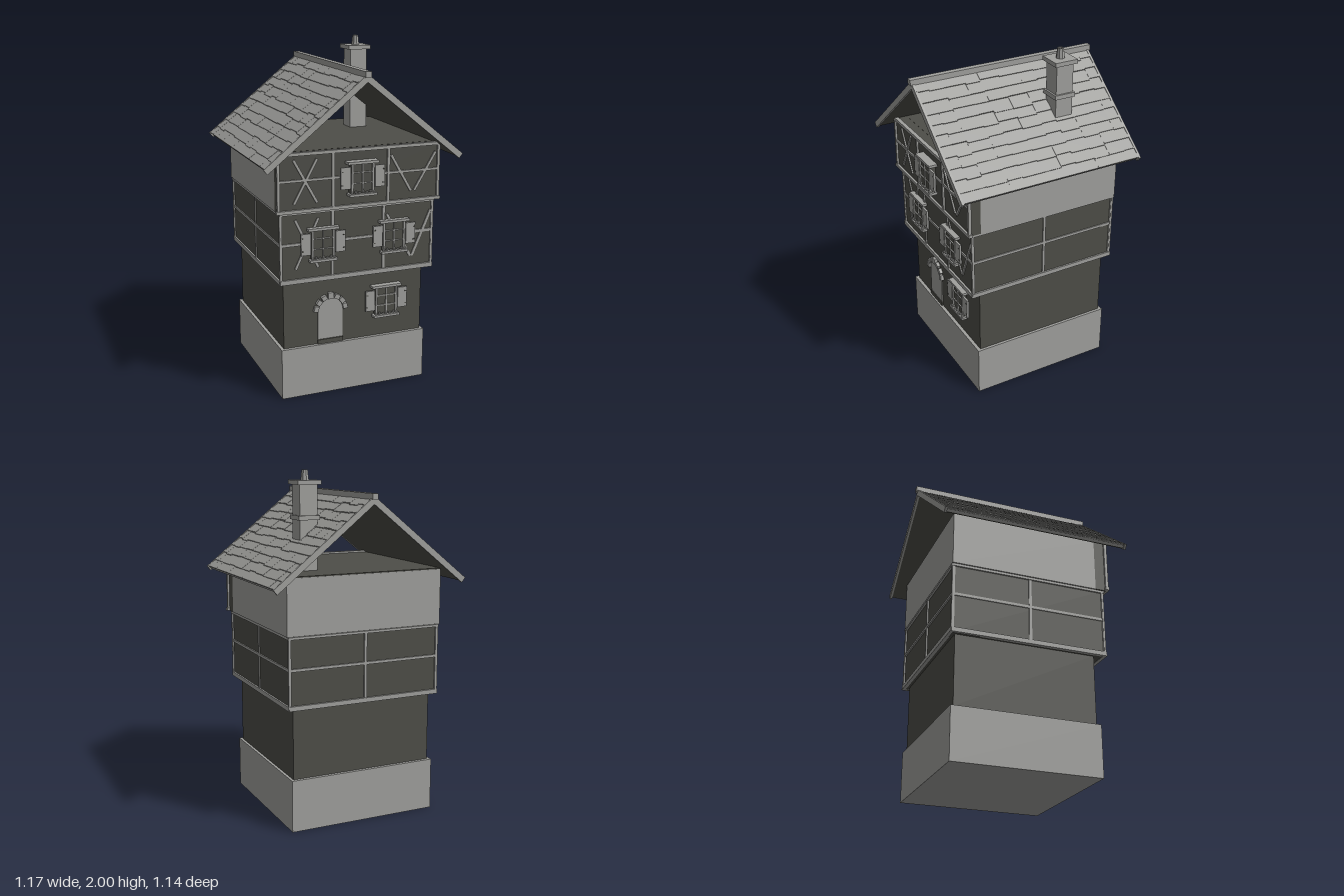
import * as THREE from 'three';
import { mergeGeometries } from 'three/addons/utils/BufferGeometryUtils.js';

const pale = new THREE.MeshStandardMaterial({ color: 0xa0a09d });
pale.name = 'pale stone and timber';
const dark = new THREE.MeshStandardMaterial({ color: 0x4e4e48 });
dark.name = 'dark plaster';

function add(parent, name, geometry, material) {
  const mesh = new THREE.Mesh(geometry, material);
  mesh.name = name;
  parent.add(mesh);
  return mesh;
}

// Box given by its lower and upper limits on each axis
function block(parent, name, material, x0, x1, y0, y1, z0, z1) {
  const mesh = add(parent, name, new THREE.BoxGeometry(x1 - x0, y1 - y0, z1 - z0), material);
  mesh.position.set((x0 + x1) / 2, (y0 + y1) / 2, (z0 + z1) / 2);
  return mesh;
}

// Timber between two points of an upright plane facing +z
function beam(parent, x0, y0, x1, y1, z, width, depth = 0.012) {
  const length = Math.hypot(x1 - x0, y1 - y0);
  const mesh = add(parent, 'timber', new THREE.BoxGeometry(length, width, depth), pale);
  mesh.position.set((x0 + x1) / 2, (y0 + y1) / 2, z);
  mesh.rotation.z = Math.atan2(y1 - y0, x1 - x0);
  return mesh;
}

// Window with shutters, lintel, sill and a row of small plants
function windowUnit(parent, x, y, z, back) {
  const g = new THREE.Group();
  g.name = 'window';
  g.position.set(x, y, z);
  parent.add(g);
  block(g, 'windowPane', dark, -0.068, 0.068, -0.085, 0.085, -back, 0.004);
  for (const s of [-1, 1]) {
    beam(g, s * 0.062, -0.085, s * 0.062, 0.085, 0.006, 0.012);
    const shutter = new THREE.Group();
    shutter.name = 'shutter';
    shutter.position.x = s * 0.102;
    g.add(shutter);
    block(shutter, 'shutterBoard', pale, -0.029, 0.029, -0.053, 0.07, 0, 0.012);
    for (const h of [-0.03, 0.045]) block(shutter, 'hinge', dark, s * 0.02 - 0.005, s * 0.02 + 0.005, h - 0.003, h + 0.003, 0.012, 0.014);
  }
  beam(g, 0, -0.085, 0, 0.085, 0.005, 0.008);
  for (const h of [-0.025, 0.035]) beam(g, -0.06, h, 0.06, h, 0.005, 0.006);
  block(g, 'lintel', pale, -0.092, 0.092, 0.083, 0.098, -back, 0.02);
  block(g, 'sill', pale, -0.082, 0.082, -0.097, -0.083, -back, 0.024);
  for (let i = 0; i < 7; i++) {
    const plant = add(g, 'plant', new THREE.IcosahedronGeometry(0.009, 0), pale);
    plant.position.set(-0.066 + i * 0.022, -0.078 + (i % 2) * 0.005, 0.014);
  }
}

function buildDoor(parent) {
  const door = new THREE.Group();
  door.name = 'door';
  door.position.set(-0.148, 0.5, 0.39);
  parent.add(door);
  const shape = new THREE.Shape();
  shape.moveTo(-0.076, -0.17);
  shape.lineTo(0.076, -0.17);
  shape.lineTo(0.076, 0);
  shape.absarc(0, 0, 0.076, 0, Math.PI, false);
  add(door, 'doorLeaf', new THREE.ExtrudeGeometry(shape, { depth: 0.006, bevelEnabled: false, curveSegments: 12 }), pale);
  block(door, 'doorStep', dark, -0.078, 0.078, -0.2, -0.172, 0, 0.01);
  // Arch stones
  for (let i = 0; i < 7; i++) {
    const a = (i + 0.5) * Math.PI / 7;
    const key = i === 3;
    const stone = add(door, key ? 'keystone' : 'archStone', new THREE.BoxGeometry(0.032, key ? 0.038 : 0.027, 0.022), pale);
    const r = key ? 0.092 : 0.09;
    stone.position.set(Math.cos(a) * r, Math.sin(a) * r, 0.008);
    stone.rotation.z = a - Math.PI / 2;
  }
}

// Plain timber frame on a wall: edges, one middle post and one rail
function wallFrame(parent, half, z, angle, offset) {
  const g = new THREE.Group();
  g.name = 'timberFrame';
  g.rotation.y = angle;
  g.position.copy(offset);
  parent.add(g);
  beam(g, -half, 0.722, half, 0.722, z, 0.026, 0.02);
  beam(g, -half, 1.113, half, 1.113, z, 0.014, 0.02);
  beam(g, -half, 0.935, half, 0.935, z, 0.016);
  for (const x of [-half + 0.008, 0, half - 0.008]) beam(g, x, 0.71, x, 1.12, z, 0.016);
}

// Lapped tiles of one roof slope; x runs down the slope
function tiles(seed) {
  const random = () => ((seed = (seed * 16807) % 2147483647) / 2147483647);
  const edges = [-0.552, -0.48, -0.38, -0.28, -0.16, -0.065, 0.055, 0.175, 0.265, 0.395, 0.48, 0.552];
  const rows = 11, pitch = 0.742 / rows, parts = [];
  for (let r = 0; r < rows; r++) {
    for (let c = 0; c + 1 < edges.length; c++) {
      const slip = r === rows - 1 ? 0 : random() * 0.014;
      const tile = new THREE.BoxGeometry(pitch + 0.008, 0.008, edges[c + 1] - edges[c]);
      tile.rotateZ(0.08);
      tile.translate((r + 0.5) * pitch - 0.004 + slip, -0.004 + random() * 0.0015, (edges[c] + edges[c + 1]) / 2);
      parts.push(tile);
    }
  }
  return mergeGeometries(parts);
}

function buildRoof(parent) {
  const roof = new THREE.Group();
  roof.name = 'roof';
  roof.position.y = 1.862;
  parent.add(roof);
  for (const s of [1, -1]) {
    const turn = new THREE.Group();
    turn.rotation.y = s > 0 ? 0 : Math.PI;
    roof.add(turn);
    const slope = new THREE.Group();
    slope.name = 'roofSlope';
    slope.rotation.z = -0.677;
    turn.add(slope);
    add(slope, 'roofTiles', tiles(s > 0 ? 17 : 91), pale);
    block(slope, 'roofBoard', pale, 0, 0.74, -0.022, -0.006, -0.55, 0.55);
    block(slope, 'roofLining', dark, 0, 0.735, -0.028, -0.022, -0.55, 0.55);
    for (const z of [-1, 1]) {
      const board = block(slope, 'bargeBoard', pale, 0, 0.748, -0.031, 0.003, -0.007, 0.007);
      board.position.z = z * 0.555;
    }
  }
  block(roof, 'ridgeBeam', pale, -0.017, 0.017, -0.014, 0.018, -0.572, 0.572);
}

function buildChimney(parent) {
  const chimney = new THREE.Group();
  chimney.name = 'chimney';
  chimney.position.set(0.255, 0, -0.215);
  parent.add(chimney);
  block(chimney, 'chimneyStack', pale, -0.053, 0.053, 1.44, 1.922, -0.053, 0.053);
  block(chimney, 'chimneyBand', pale, -0.064, 0.064, 1.727, 1.752, -0.064, 0.064);
  block(chimney, 'chimneyCap', pale, -0.07, 0.07, 1.92, 1.944, -0.07, 0.07);
  const profile = [[0.025, 1.944], [0.018, 2], [0.013, 2], [0.013, 1.955], [0, 1.955]];
  add(chimney, 'chimneyPot', new THREE.LatheGeometry(profile.map((p) => new THREE.Vector2(...p)), 8).toNonIndexed(), pale)
    .geometry.computeVertexNormals();
}

export function createModel() {
  const house = new THREE.Group();
  house.name = 'house';

  // Storeys
  block(house, 'plinth', pale, -0.448, 0.446, 0, 0.302, -0.46, 0.41);
  block(house, 'groundFloor', dark, -0.43, 0.43, 0.302, 0.715, -0.44, 0.39);
  block(house, 'middleFloor', dark, -0.46, 0.46, 0.712, 1.122, -0.465, 0.445);
  block(house, 'upperFloor', pale, -0.475, 0.475, 1.122, 1.44, -0.475, 0.4);
  block(house, 'upperFront', dark, -0.475, 0.475, 1.122, 1.445, 0.4, 0.468);
  block(house, 'atticFloor', dark, -0.472, 0.472, 1.44, 1.446, -0.472, 0.4);

  // Side and back timber of the middle floor
  const off = new THREE.Vector3(0, 0, -0.01);
  wallFrame(house, 0.463, 0.46, Math.PI / 2, off);
  wallFrame(house, 0.463, 0.46, -Math.PI / 2, off);
  wallFrame(house, 0.468, 0.458, Math.PI, off);

  // Front timber of the middle floor
  const front = new THREE.Group();
  front.name = 'frontTimber';
  house.add(front);
  const m = 0.446, u = 0.47;
  beam(front, -0.468, 0.722, 0.468, 0.722, m, 0.026, 0.022);
  beam(front, -0.468, 1.113, 0.468, 1.113, m, 0.014, 0.022);
  beam(front, -0.46, 0.935, 0.46, 0.935, m, 0.016);
  for (const x of [-0.46, -0.155, 0.155, 0.46]) beam(front, x, 0.72, x, 1.115, m, 0.016);
  beam(front, -0.375, 1.075, -0.24, 0.79, m, 0.015);
  beam(front, -0.24, 1.075, -0.375, 0.79, m, 0.015);
  beam(front, 0.175, 1.055, 0.325, 0.79, m, 0.015);
  beam(front, 0.45, 1.055, 0.335, 0.79, m, 0.015);

  // Front timber of the upper floor
  beam(front, -0.492, 1.131, 0.492, 1.131, u, 0.018, 0.024);
  beam(front, -0.492, 1.447, 0.492, 1.447, u, 0.018, 0.024);
  beam(front, -0.48, 1.3, 0.48, 1.3, u, 0.014);
  for (const x of [-0.478, -0.163, 0.168, 0.478]) beam(front, x, 1.125, x, 1.445, u, 0.016, 0.018);
  beam(front, -0.39, 1.415, -0.255, 1.17, u, 0.015);
  beam(front, -0.255, 1.415, -0.39, 1.17, u, 0.015);
  beam(front, 0.185, 1.4, 0.31, 1.185, u, 0.015);
  beam(front, 0.46, 1.4, 0.33, 1.185, u, 0.015);

  // Openings
  windowUnit(house, 0, 1.29, 0.498, 0.03);
  windowUnit(house, -0.217, 0.925, 0.456, 0.012);
  windowUnit(house, 0.215, 0.925, 0.456, 0.012);
  windowUnit(house, 0.195, 0.52, 0.408, 0.02);
  buildDoor(house);

  buildRoof(house);
  buildChimney(house);
  return house;
}
